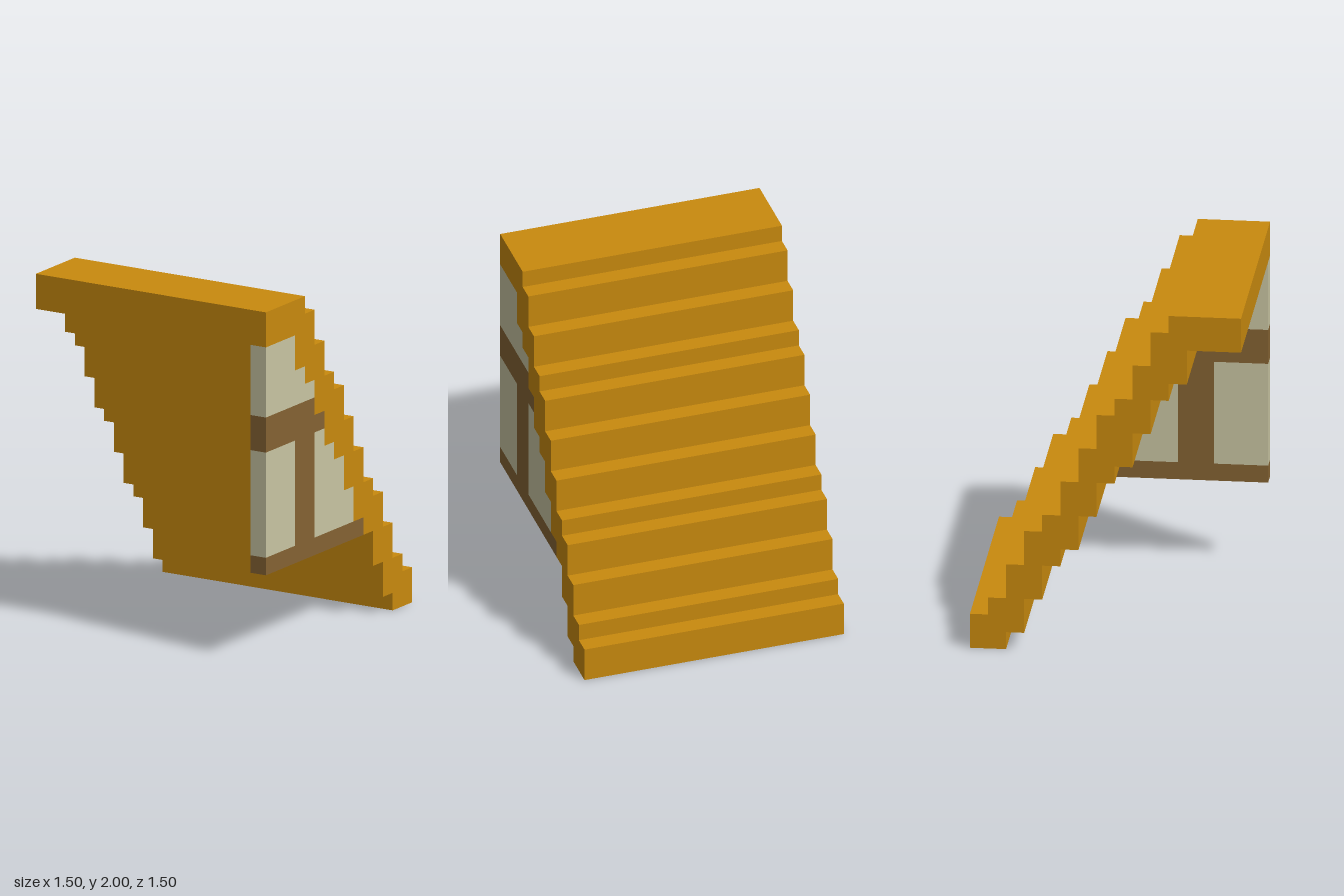
import * as THREE from 'three';

const ochre = new THREE.MeshStandardMaterial({ color: 0xc98a0e });
ochre.name = 'ochre roof';
const brown = new THREE.MeshStandardMaterial({ color: 0x856333 });
brown.name = 'brown timber';
const cream = new THREE.MeshStandardMaterial({ color: 0xc9c5a2 });
cream.name = 'cream plaster';

// Extrude a side outline of [z, y] points across x0..x1
function slab(name, material, x0, x1, points) {
  const shape = new THREE.Shape(points.map(([z, y]) => new THREE.Vector2(z, y)));
  const geometry = new THREE.ExtrudeGeometry(shape, { depth: x1 - x0, bevelEnabled: false });
  geometry.rotateY(-Math.PI / 2);
  geometry.translate(x1, 0, 0);
  const mesh = new THREE.Mesh(geometry, material);
  mesh.name = name;
  return mesh;
}

// Staircase outline: each level runs 0.1 further in z before moving to the next height
function steps(z, dz, heights) {
  const points = [];
  for (let i = 0; i < heights.length - 1; i++) {
    points.push([z + i * dz, heights[i]], [z + i * dz, heights[i + 1]]);
  }
  return points;
}

const rect = (z0, z1, y0, y1) => [[z0, y0], [z1, y0], [z1, y1], [z0, y1]];

export function createModel() {
  const group = new THREE.Group();
  group.name = 'roofSection';

  // Stepped roof: upper steps descend to the back, lower steps climb to the front
  const upper = steps(0.35, -0.1, [2, 1.9, 1.7, 1.5, 1.4, 1.2, 1, 0.8, 0.7, 0.5, 0.3, 0.2, 0]);
  const lower = steps(-0.55, 0.1, [0, 0.1, 0.3, 0.5, 0.6, 0.8, 1, 1.1, 1.3, 1.5, 1.6, 1.8]);
  group.add(slab('steppedRoof', ochre, -0.75, 0.75,
    [[0.75, 2], ...upper, ...lower, [0.75, 1.8]]));

  // Gable wall under the roof on the left side
  const wall = new THREE.Group();
  wall.name = 'gableWall';
  const part = (name, material, points) => wall.add(slab(name, material, 0.65, 0.75, points));

  part('baseBeam', brown, rect(-0.25, 0.75, 0.5, 0.6));
  part('post', brown, rect(0.25, 0.45, 0.6, 1.2));
  part('crossBeam', brown,
    [[0.15, 1.2], [0.75, 1.2], [0.75, 1.4], [0.25, 1.4], [0.25, 1.3], [0.15, 1.3]]);
  part('frontPanel', cream, rect(0.45, 0.75, 0.6, 1.2));
  part('rearPanel', cream,
    [[-0.15, 0.6], [0.25, 0.6], [0.25, 1.2], [0.15, 1.2], [0.15, 1.1], [0.05, 1.1],
      [0.05, 1], [-0.05, 1], [-0.05, 0.8], [-0.15, 0.8]]);
  part('upperPanel', cream,
    [[0.25, 1.4], [0.75, 1.4], [0.75, 1.8], [0.45, 1.8], [0.45, 1.6], [0.35, 1.6],
      [0.35, 1.5], [0.25, 1.5]]);
  group.add(wall);

  return group;
}
